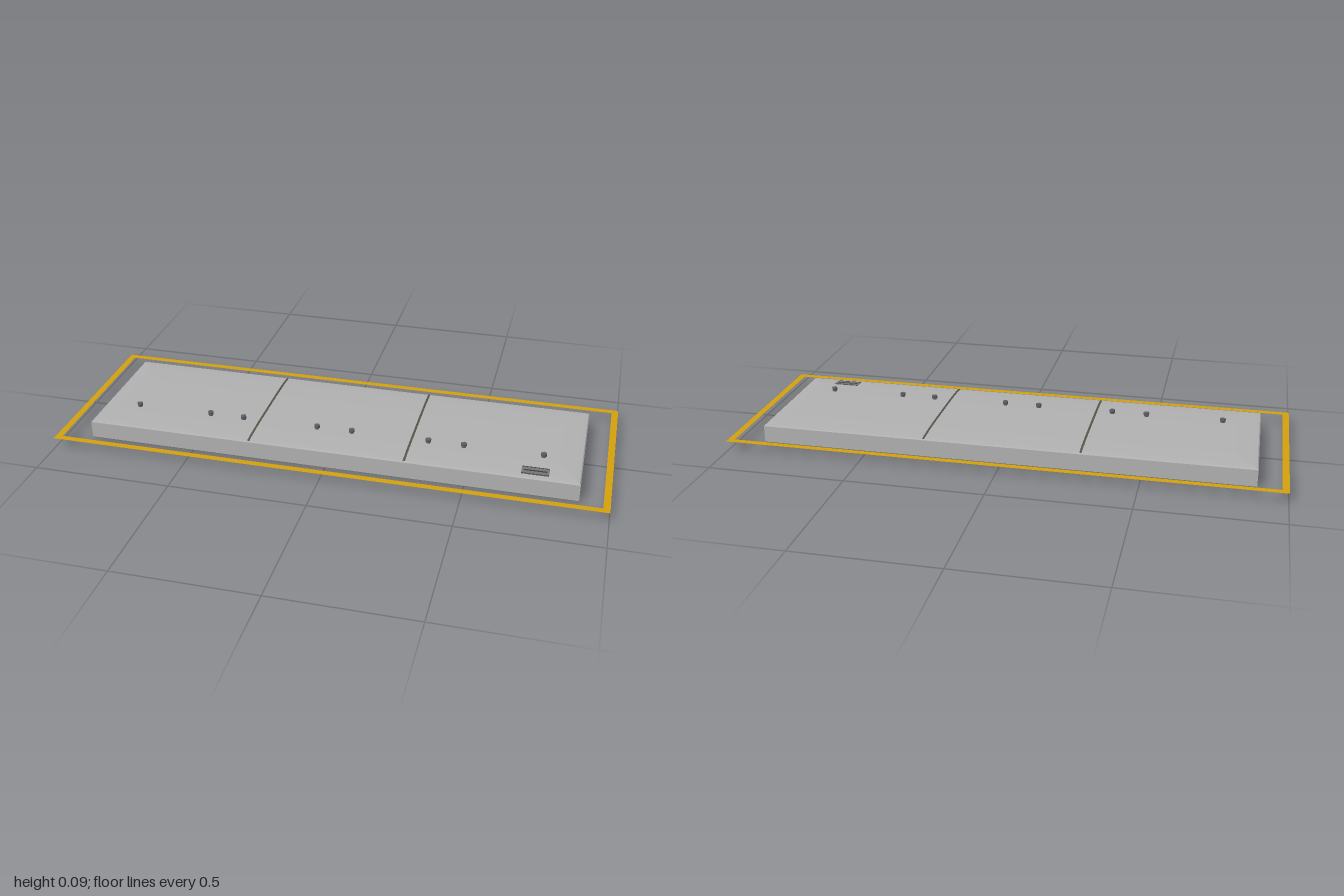
import * as THREE from 'three';

const mat = (name, color, extra = {}) => {
  const m = new THREE.MeshStandardMaterial({ color, ...extra });
  m.name = name;
  return m;
};

const HX = 0.895, HZ = 0.255;
// body cross-section rings: [inset in x, inset in z, height]
const RINGS = [
  [0.005, 0.005, 0], [0, 0, 0.005], [0, 0, 0.067], [0.004, 0.004, 0.0715],
  [0.02, 0.025, 0.0735], [0.045, 0.06, 0.0755], [0.08, 0.1, 0.077], [0.12, 0.16, 0.078],
];

// stack of rectangular rings with closed ends, faceted
function ringStack(rings) {
  const pos = [], idx = [];
  for (const [ix, iz, y] of rings) {
    const x = HX - ix, z = HZ - iz;
    pos.push(-x, y, z, x, y, z, x, y, -z, -x, y, -z);
  }
  for (let r = 0; r < rings.length - 1; r++) {
    for (let i = 0; i < 4; i++) {
      const a = r * 4 + i, b = r * 4 + (i + 1) % 4;
      idx.push(a, b, b + 4, a, b + 4, a + 4);
    }
  }
  const t = (rings.length - 1) * 4;
  idx.push(0, 2, 1, 0, 3, 2, t, t + 1, t + 2, t, t + 2, t + 3);
  const g = new THREE.BufferGeometry();
  g.setAttribute('position', new THREE.Float32BufferAttribute(pos, 3));
  g.setIndex(idx);
  const flat = g.toNonIndexed();
  flat.computeVertexNormals();
  return flat;
}

export function createModel() {
  const group = new THREE.Group();
  const grey = mat('bodyGrey', 0xb0b0b0);
  const gold = mat('borderGold', 0xd2a00c, { side: THREE.DoubleSide });
  const seamDark = mat('seamDark', 0x55554a);
  const knobDark = mat('knobDark', 0x5c6066);
  const ventGrey = mat('ventGrey', 0x737373);
  const ventDark = mat('ventDark', 0x3c3c3c);

  const add = (name, geo, material, x = 0, y = 0, z = 0, parent = group) => {
    const m = new THREE.Mesh(geo, material);
    m.name = name;
    m.position.set(x, y, z);
    parent.add(m);
    return m;
  };

  // main slab with a gently crowned top
  add('body', ringStack(RINGS), grey);

  // flat outline surrounding the slab
  const rect = (path, x, z) =>
    path.moveTo(-x, -z).lineTo(x, -z).lineTo(x, z).lineTo(-x, z).closePath();
  const outline = new THREE.Shape();
  rect(outline, 1, 0.357);
  const opening = new THREE.Path();
  rect(opening, 0.976, 0.333);
  outline.holes.push(opening);
  add('border', new THREE.ShapeGeometry(outline).rotateX(-Math.PI / 2), gold, 0, 0.04, 0);

  // panel seams that follow the crown
  const crown = RINGS.slice(3).map(([, iz, y]) => [HZ - iz, y]);
  const line = [...crown, ...crown.slice().reverse().map(([z, y]) => [-z, y])];
  const strip = new THREE.Shape([
    ...line.map(([z, y]) => new THREE.Vector2(z, y + 0.0007)),
    ...line.slice().reverse().map(([z, y]) => new THREE.Vector2(z, y - 0.002)),
  ]);
  const seam = new THREE.ExtrudeGeometry(strip, { depth: 0.008, bevelEnabled: false })
    .translate(0, 0, -0.004).rotateY(Math.PI / 2);
  for (const x of [-0.285, 0.285]) add('seam', seam, seamDark, x);

  // row of small knobs: stem and wider cap
  const stem = new THREE.CylinderGeometry(0.008, 0.008, 0.012, 12);
  const cap = new THREE.CylinderGeometry(0.0105, 0.0105, 0.011, 8);
  for (const ax of [0.065, 0.347, 0.475, 0.757]) {
    for (const s of [-1, 1]) {
      const knob = new THREE.Group();
      knob.name = 'knob';
      knob.position.set(s * ax, 0.076, 0.115);
      add('knobStem', stem, knobDark, 0, 0.004, 0, knob);
      add('knobCap', cap, knobDark, 0, 0.0115, 0, knob);
      group.add(knob);
    }
  }

  // vent plate near the front left corner, tilted with the crown
  const vent = new THREE.Group();
  vent.name = 'vent';
  vent.position.set(0.738, 0.0748, 0.212);
  vent.rotation.x = 0.06;
  add('ventPlate', new THREE.BoxGeometry(0.095, 0.003, 0.045), ventGrey, 0, 0, 0, vent);
  add('ventSlot', new THREE.BoxGeometry(0.08, 0.002, 0.006), ventDark, 0, 0.001, 0, vent);
  for (const z of [-0.02, 0.02]) {
    add('ventEdge', new THREE.BoxGeometry(0.095, 0.002, 0.003), ventDark, 0, 0.001, z, vent);
  }
  group.add(vent);

  return group;
}
